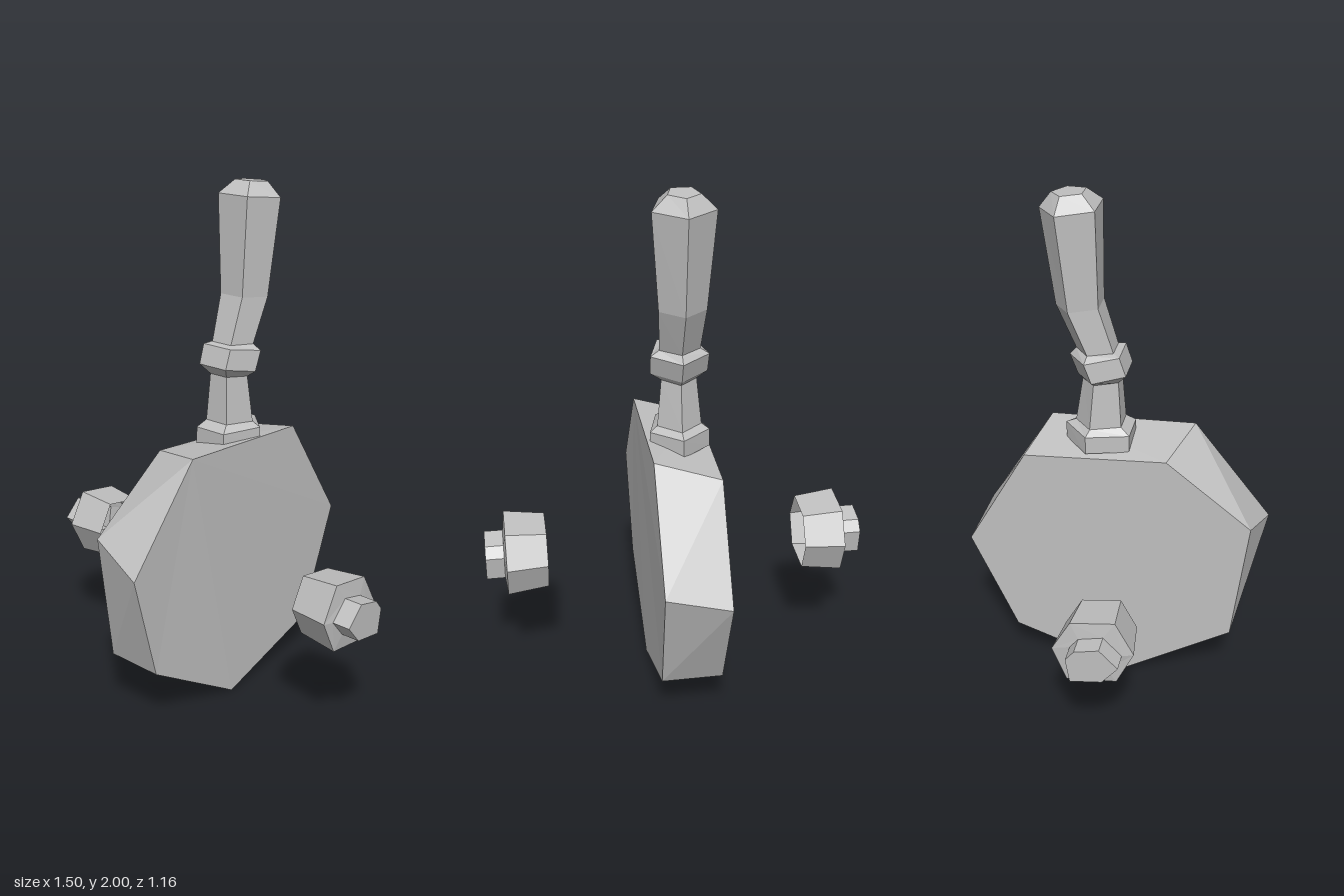
import * as THREE from 'three';

// Flat-shaded loft through rings of [x, y, z] points, listed clockwise seen from the end.
function loft(name, rings, material, capStart = true, capEnd = true) {
  const pos = [];
  const tri = (a, b, c) => pos.push(...a, ...b, ...c);
  const n = rings[0].length;
  for (let r = 0; r < rings.length - 1; r++) {
    const lo = rings[r], hi = rings[r + 1];
    for (let i = 0; i < n; i++) {
      const j = (i + 1) % n;
      tri(lo[i], hi[i], hi[j]);
      tri(lo[i], hi[j], lo[j]);
    }
  }
  const first = rings[0], last = rings[rings.length - 1];
  for (let i = 1; i < n - 1; i++) {
    if (capStart) tri(first[0], first[i], first[i + 1]);
    if (capEnd) tri(last[0], last[i + 1], last[i]);
  }
  const geometry = new THREE.BufferGeometry();
  geometry.setAttribute('position', new THREE.Float32BufferAttribute(pos, 3));
  geometry.computeVertexNormals();
  const mesh = new THREE.Mesh(geometry, material);
  mesh.name = name;
  return mesh;
}

// Pentagon with its point to the back; slope tips it down towards the back.
function pentagon(y, z, rx, rz = rx, slope = 0) {
  return Array.from({ length: 5 }, (_, i) => {
    const a = (i / 5) * Math.PI * 2;
    const dz = -Math.cos(a) * rz;
    return [Math.sin(a) * rx, y + dz * slope, z + dz];
  });
}

export function createModel() {
  const group = new THREE.Group();
  const grey = new THREE.MeshStandardMaterial({ color: 0xc0c0c0 });
  grey.name = 'plain grey';
  grey.flatShading = true;
  grey.side = THREE.DoubleSide;

  // Seven-sided slab, slightly skewed between its two faces ([z, y] points)
  const rightFace = [[0.205, 1.01], [-0.345, 0.98], [-0.58, 0.57], [-0.4, 0.165],
    [0.055, 0.002], [0.475, 0.25], [0.535, 0.75]];
  const leftFace = [[0.28, 1.055], [-0.29, 1.04], [-0.555, 0.62], [-0.4, 0.165],
    [0.055, 0], [0.475, 0.25], [0.585, 0.67]];
  group.add(loft('body', [
    rightFace.map(([z, y]) => [-0.12, y, z]),
    leftFace.map(([z, y]) => [0.115 + 0.01 * (y > 0.5), y, z]),
  ], grey));

  // Handle: foot, neck, collar and bent grip
  const handle = new THREE.Group();
  handle.name = 'handle';
  handle.add(loft('foot', [
    pentagon(1.01, -0.061, 0.12, 0.143),
    pentagon(1.078, -0.061, 0.118, 0.143),
    pentagon(1.1, -0.063, 0.088, 0.102, 0.05),
  ], grey));
  handle.add(loft('neck', [
    pentagon(1.1, -0.063, 0.088, 0.102, 0.05),
    pentagon(1.28, -0.057, 0.07, 0.08, 0.1),
  ], grey, false, false));
  handle.add(loft('collar', [
    pentagon(1.28, -0.057, 0.07, 0.08, 0.1),
    pentagon(1.31, -0.047, 0.113, 0.108, 0.18),
    pentagon(1.386, -0.074, 0.115, 0.111, 0.155),
    pentagon(1.403, -0.077, 0.08, 0.083, 0.06),
  ], grey, false, false));
  handle.add(loft('grip', [
    pentagon(1.403, -0.077, 0.08, 0.083, 0.06),
    pentagon(1.574, -0.14, 0.092, 0.094, 0.09),
    pentagon(1.942, -0.166, 0.121, 0.12, 0.1),
    pentagon(1.995, -0.175, 0.062, 0.066, 0.09),
  ], grey, false, true));
  group.add(handle);

  // Side knobs, open towards the body ([z, y] hexagons)
  const large = [[0.122, 0.674], [-0.042, 0.653], [-0.111, 0.53],
    [-0.058, 0.398], [0.127, 0.414], [0.19, 0.546]];
  const small = [[0.08, 0.612], [-0.01, 0.592], [-0.042, 0.552],
    [-0.027, 0.457], [0.09, 0.472], [0.148, 0.541]];
  for (const side of [1, -1]) {
    const drop = side < 0 ? 0.008 : 0;
    const ring = (shape, x, s = 1) => shape.map(([z, y]) =>
      [side * x, 0.535 + (y - 0.535) * s - drop, 0.037 + (z - 0.037) * s]);
    const rings = [ring(large, 0.512, 0.88), ring(large, 0.672), ring(small, 0.68), ring(small, 0.752)];
    if (side < 0) rings.reverse();
    group.add(loft(side > 0 ? 'leftKnob' : 'rightKnob', rings, grey, side < 0, side > 0));
  }
  return group;
}
